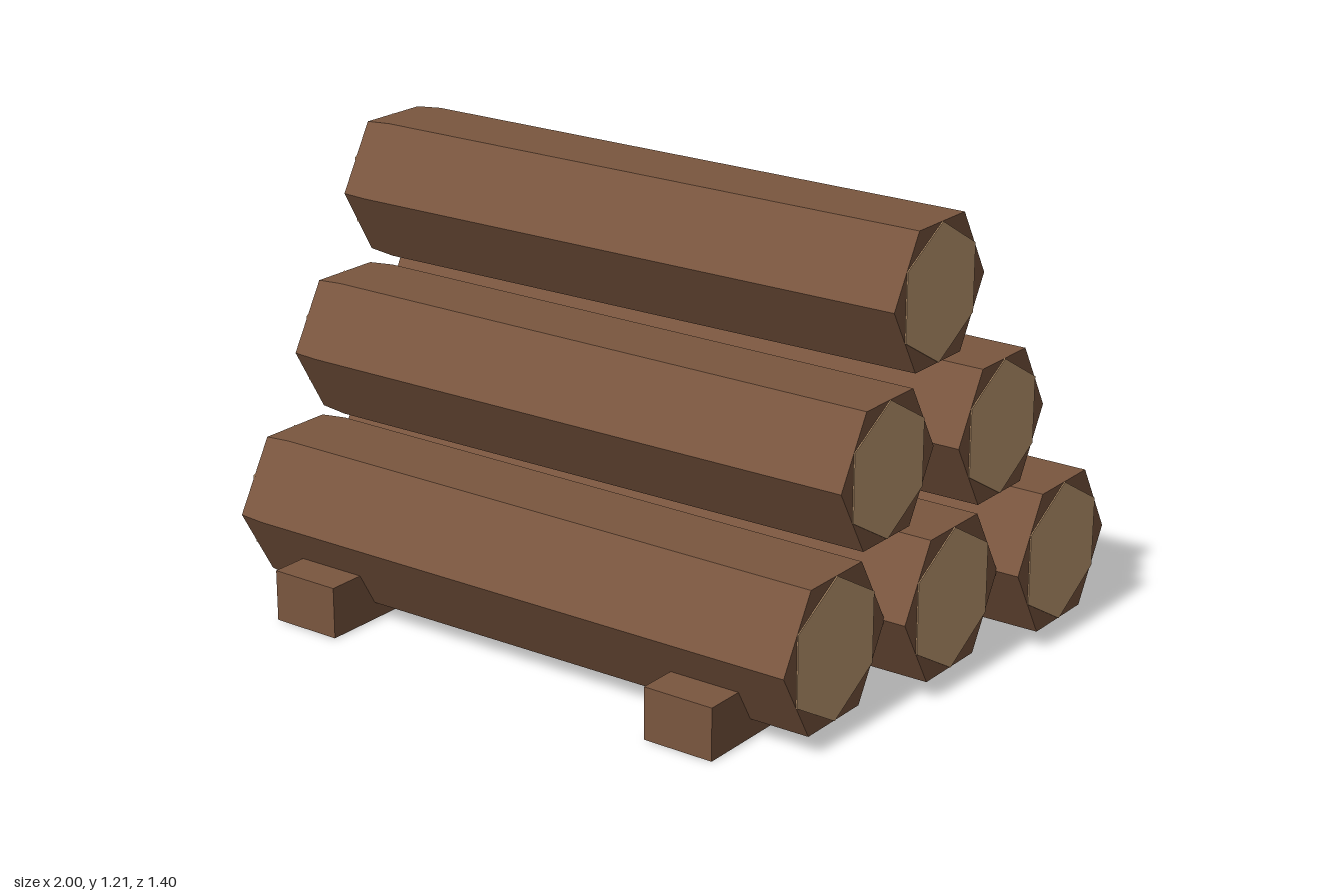
import * as THREE from 'three';

const bark = new THREE.MeshStandardMaterial({ color: 0x7a563f, flatShading: true });
bark.name = 'bark brown';
const cutWood = new THREE.MeshStandardMaterial({ color: 0xc49d74, flatShading: true });
cutWood.name = 'cut wood tan';

// Six-sided log along x, slightly pinched at its -x end and tapering to +x
function makeLog(name, radius, length, y, z) {
  const h = length / 2;
  const log = new THREE.Group();
  log.name = name;
  const profile = [
    [0, -h], [radius * 0.965, -h], [radius, -h + length * 0.045],
    [radius * 0.97, h], [0, h],
  ].map(([r, a]) => new THREE.Vector2(r, a));
  const body = new THREE.Mesh(new THREE.LatheGeometry(profile, 6).rotateZ(-Math.PI / 2), bark);
  body.name = 'logBark';
  log.add(body);

  // Sawn ends: thin hexagons turned against the bark
  for (const side of [-1, 1]) {
    const r = radius * 0.84;
    const geo = new THREE.CylinderGeometry(r, r, 0.006, 6, 1, false, Math.PI / 6);
    const end = new THREE.Mesh(geo.rotateZ(-Math.PI / 2), cutWood);
    end.name = side > 0 ? 'leftSawnEnd' : 'rightSawnEnd';
    end.position.x = side * h;
    log.add(end);
  }
  log.position.set(0, y, z);
  return log;
}

export function createModel() {
  const model = new THREE.Group();
  model.name = 'logPile';

  // Pyramid of logs: [radius, length, y, z], longest at the back
  const logs = {
    bottomBackLog: [0.225, 1.99, 0.24, -0.43],
    bottomMiddleLog: [0.225, 1.86, 0.24, 0],
    bottomFrontLog: [0.225, 1.735, 0.24, 0.43],
    middleBackLog: [0.212, 1.86, 0.63, -0.213],
    middleFrontLog: [0.212, 1.735, 0.63, 0.213],
    topLog: [0.212, 1.735, 1.022, 0],
  };
  for (const [name, spec] of Object.entries(logs)) model.add(makeLog(name, ...spec));

  // Two cross beams under the pile
  for (const side of [-1, 1]) {
    const beam = new THREE.Mesh(new THREE.BoxGeometry(0.2, 0.14, 1.4), bark);
    beam.name = side > 0 ? 'leftBeam' : 'rightBeam';
    beam.position.set(side * 0.6, 0.07, 0);
    model.add(beam);
  }
  return model;
}
